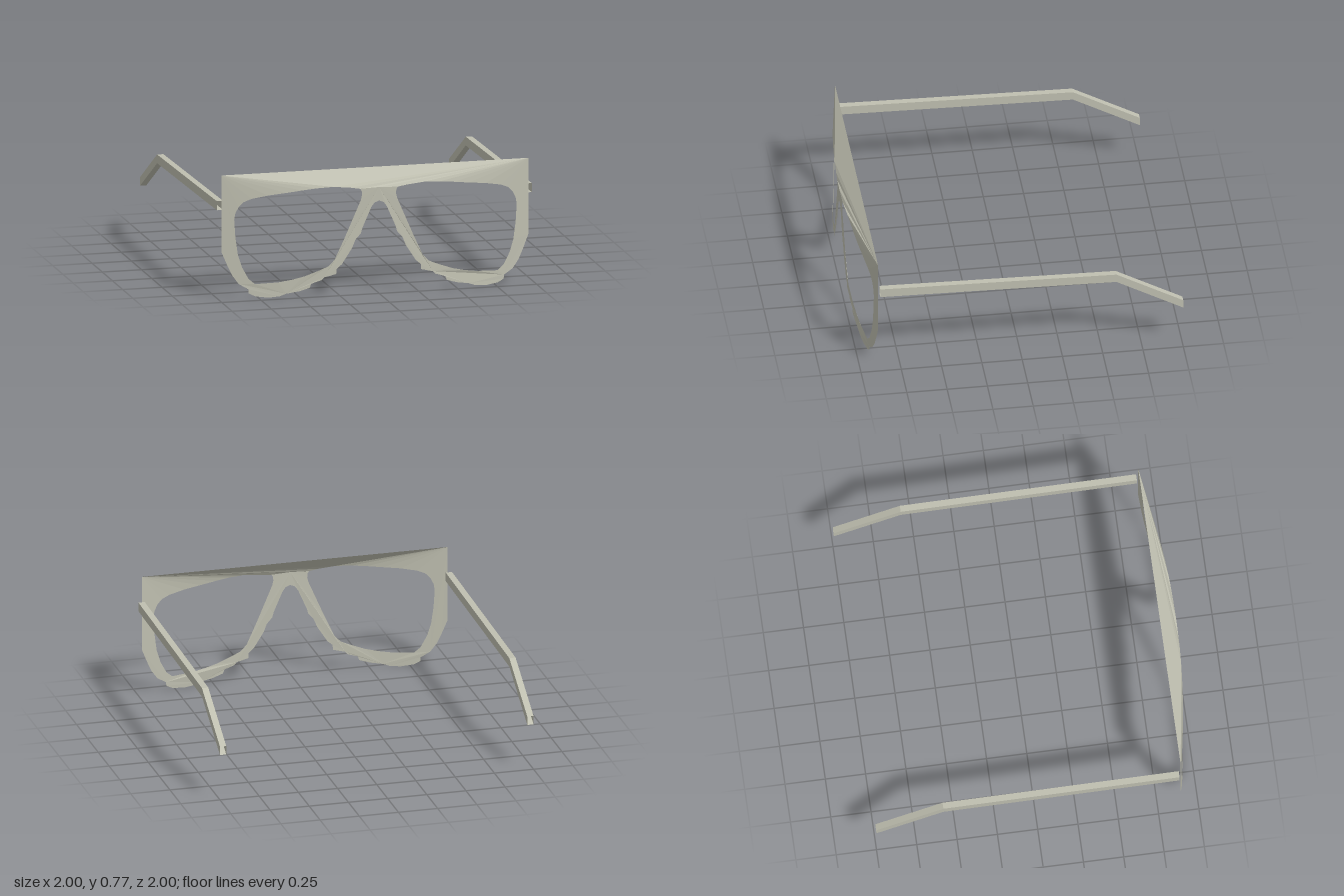
import * as THREE from 'three';

const frameGrey = new THREE.MeshStandardMaterial({ color: 0xbfbfb0, side: THREE.DoubleSide });
frameGrey.name = 'frame grey';

// The front is a thin sheet, bowed forward in the middle
const bow = (x) => 0.995 - 0.105 * (x / 0.975) ** 2;

// Top edge of one lens opening, from the bridge outwards
const lensTop = [
  [0.12, 0.67], [0.18, 0.68], [0.285, 0.69], [0.39, 0.685], [0.48, 0.675],
  [0.58, 0.662], [0.69, 0.649], [0.79, 0.63], [0.84, 0.61], [0.87, 0.58],
];

// Rest of the opening, from the outer top corner round to the bridge
const lensRest = [
  [0.89, 0.54], [0.897, 0.5], [0.89, 0.39], [0.875, 0.28], [0.85, 0.2], [0.81, 0.125],
  [0.77, 0.092], [0.63, 0.1], [0.55, 0.113], [0.47, 0.132], [0.38, 0.165], [0.32, 0.19],
  [0.28, 0.23], [0.215, 0.37], [0.115, 0.6], [0.108, 0.63], [0.11, 0.655],
];

// Outer edge, from the top corner down, along the stepped bottom and up the nose
const outerEdge = [
  [0.975, 0.78], [0.975, 0.3], [0.94, 0.215], [0.91, 0.15], [0.87, 0.095], [0.812, 0.06],
  [0.81, 0.035], [0.77, 0.015], [0.69, 0.005], [0.62, 0.012], [0.58, 0.027], [0.5, 0.04],
  [0.435, 0.06], [0.425, 0.085], [0.36, 0.105], [0.345, 0.122], [0.31, 0.13], [0.27, 0.14],
  [0.268, 0.172], [0.235, 0.2], [0.17, 0.3], [0.15, 0.35], [0.115, 0.39], [0.105, 0.425],
  [0.05, 0.55], [0.03, 0.578], [0, 0.59],
];

function mesh(name, geometry) {
  const flat = geometry.index ? geometry.toNonIndexed() : geometry;
  flat.computeVertexNormals();
  const m = new THREE.Mesh(flat, frameGrey);
  m.name = name;
  return m;
}

// Lens rim with half of the bridge
function rim(side) {
  const points = [...outerEdge, [0, 0.675], lensTop[0], ...[...lensRest].reverse(), lensTop.at(-1)];
  const shape = new THREE.Shape(points.map(([x, y]) => new THREE.Vector2(x * side, y)));
  const geometry = new THREE.ShapeGeometry(shape);
  const p = geometry.attributes.position;
  for (let i = 0; i < p.count; i++) p.setZ(i, bow(p.getX(i)));
  return mesh(side > 0 ? 'leftRim' : 'rightRim', geometry);
}

// Sloping brow: a straight top edge fanned down to the bowed lens tops
function brow() {
  const lower = [
    ...[...lensTop].reverse().map(([x, y]) => [-x, y]), [0, 0.675], ...lensTop,
  ].map(([x, y]) => [x, y, bow(x)]);
  const cornerRight = [-0.975, 0.78, bow(0.975)];
  const cornerLeft = [0.975, 0.78, bow(0.975)];
  const pivot = lensTop.length - 3;
  const triangles = [cornerRight, lower[pivot], cornerLeft];
  for (let i = 0; i < lower.length - 1; i++) {
    triangles.push(i < pivot ? cornerRight : cornerLeft, lower[i], lower[i + 1]);
  }
  const geometry = new THREE.BufferGeometry();
  geometry.setAttribute('position', new THREE.Float32BufferAttribute(triangles.flat(), 3));
  return mesh('brow', geometry);
}

// Open-ended square tube that bends down behind the ear
function temple(side) {
  const sections = [[0.88, 0.56, 0.617], [-0.585, 0.533, 0.588], [-1, 0.3, 0.355]]; // z, bottom, top
  const [x0, x1] = side > 0 ? [0.96, 1] : [-1, -0.96];
  const positions = sections.flatMap(([z, low, high]) => [
    x0, low, z, x1, low, z, x1, high, z, x0, high, z,
  ]);
  const index = [];
  for (let s = 0; s < sections.length - 1; s++) {
    for (let k = 0; k < 4; k++) {
      const a = s * 4 + k, b = s * 4 + ((k + 1) % 4);
      index.push(a, a + 4, b, b, a + 4, b + 4);
    }
  }
  const geometry = new THREE.BufferGeometry();
  geometry.setAttribute('position', new THREE.Float32BufferAttribute(positions, 3));
  geometry.setIndex(index);
  return mesh(side > 0 ? 'leftTemple' : 'rightTemple', geometry);
}

export function createModel() {
  const glasses = new THREE.Group();
  glasses.name = 'glasses';
  glasses.add(brow());
  for (const side of [1, -1]) glasses.add(rim(side), temple(side));
  return glasses;
}
